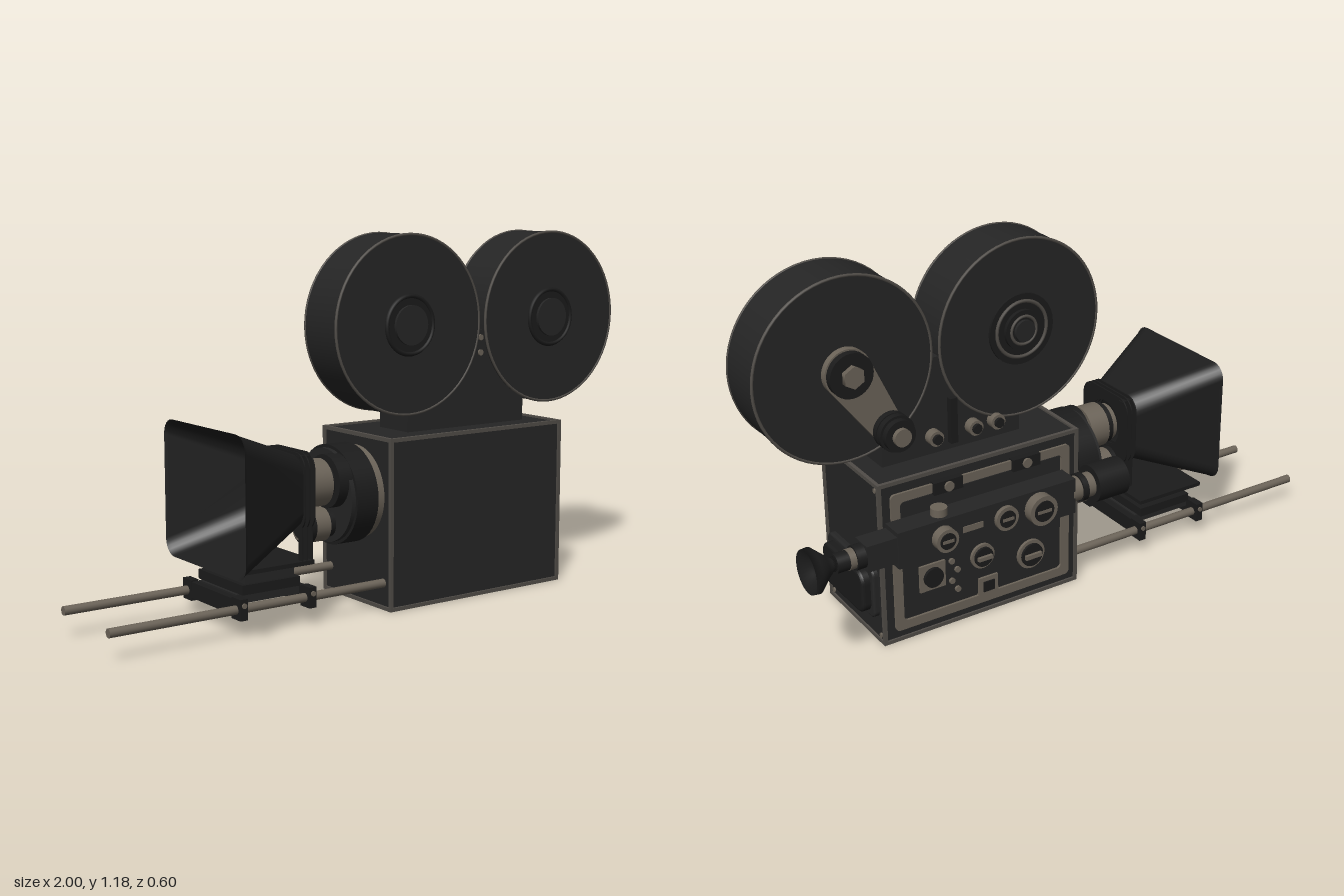
import * as THREE from 'three';

const mat = (name, color, side = THREE.FrontSide) => {
  const m = new THREE.MeshStandardMaterial({ color, side });
  m.name = name;
  return m;
};

export function createModel() {
  const root = new THREE.Group();
  root.name = 'filmCamera';
  const body = mat('charcoal paint', 0x252525);
  const black = mat('black', 0x1b1b1b);
  const shell = mat('black shell', 0x1c1c1c, THREE.DoubleSide);
  const trim = mat('worn edge', 0x504c47);
  const metal = mat('warm metal', 0x6b6358);

  const add = (name, geo, m) => {
    const mesh = new THREE.Mesh(geo, m);
    mesh.name = name;
    root.add(mesh);
    return mesh;
  };
  const box = (name, m, x0, x1, y0, y1, z0, z1) => {
    const mesh = add(name, new THREE.BoxGeometry(x1 - x0, y1 - y0, z1 - z0), m);
    mesh.position.set((x0 + x1) / 2, (y0 + y1) / 2, (z0 + z1) / 2);
    return mesh;
  };
  // Cylinders along z and along x, given by their end positions
  const cylZ = (name, m, r, x, y, z0, z1, seg = 32) => {
    const g = new THREE.CylinderGeometry(r, r, z1 - z0, seg).rotateX(Math.PI / 2);
    add(name, g, m).position.set(x, y, (z0 + z1) / 2);
  };
  const cylX = (name, m, r, x0, x1, y, z, seg = 32) => {
    const g = new THREE.CylinderGeometry(r, r, x1 - x0, seg).rotateZ(Math.PI / 2);
    add(name, g, m).position.set((x0 + x1) / 2, y, z);
  };
  const ringZ = (name, m, r, tube, x, y, z) =>
    add(name, new THREE.TorusGeometry(r, tube, 6, 64), m).position.set(x, y, z);
  const rounded = (w, h, r, ShapeType = THREE.Shape) => {
    const s = new ShapeType(), a = w / 2 - r, b = h / 2 - r, q = Math.PI / 2;
    s.absarc(a, b, r, 0, q);
    s.absarc(-a, b, r, q, 2 * q);
    s.absarc(-a, -b, r, 2 * q, 3 * q);
    s.absarc(a, -b, r, 3 * q, 4 * q);
    s.closePath();
    return s;
  };
  const extrude = (shape, depth, bevel = 0) => new THREE.ExtrudeGeometry(shape, {
    depth, curveSegments: 16, bevelEnabled: bevel > 0, bevelSize: bevel, bevelThickness: bevel, bevelSegments: 3,
  });

  // Camera body with worn edges
  const X0 = -0.04, X1 = 0.665, Z0 = -0.165, Z1 = 0.195, H = 0.545;
  box('cameraBody', body, X0, X1, 0.005, H, Z0, Z1);
  const e = 0.006;
  for (const y of [e, H]) {
    for (const z of [Z0, Z1]) box('edgeTrim', trim, X0 - e, X1 + e, y - e, y + e, z - e, z + e);
    for (const x of [X0, X1]) box('edgeTrim', trim, x - e, x + e, y - e, y + e, Z0, Z1);
  }
  for (const x of [X0, X1]) for (const z of [Z0, Z1]) box('edgeTrim', trim, x - e, x + e, 0, H, z - e, z + e);
  for (const y of [0.025, 0.525]) for (const z of [-0.145, 0.175]) cylX('cornerScrew', metal, 0.008, X1, X1 + 0.005, y, z, 12);

  // Rounded cover on the end face
  const coverA = add('endCover', extrude(rounded(0.29, 0.16, 0.02), 0.012, 0.007).rotateY(Math.PI / 2), body);
  coverA.position.set(X1, 0.167, 0.015);
  const coverB = add('endCoverRaised', extrude(rounded(0.25, 0.125, 0.03), 0.02, 0.01).rotateY(Math.PI / 2), black);
  coverB.position.set(X1 + 0.018, 0.167, 0.015);

  // Door frame and controls on the operating side
  const frame = rounded(0.64, 0.47, 0.015);
  frame.holes.push(rounded(0.58, 0.41, 0.015, THREE.Path));
  add('doorFrame', extrude(frame, 0.008), metal).position.set(0.312, 0.275, -0.177);
  box('doorPanel', body, 0.03, 0.595, 0.075, 0.475, -0.172, -0.164);
  for (const x of [0.16, 0.44]) {
    box('doorLatch', black, x - 0.05, x + 0.05, 0.475, 0.515, -0.188, -0.165);
    cylZ('latchKnob', metal, 0.016, x, 0.495, -0.195, -0.165, 16);
  }
  const knob = (x, y, r) => {
    cylZ('dialBase', metal, r, x, y, -0.182, -0.165);
    cylZ('dialFace', black, r * 0.78, x, y, -0.19, -0.165);
    box('dialGrip', metal, x - r * 0.6, x + r * 0.6, y - r * 0.15, y + r * 0.15, -0.2, -0.185);
  };
  knob(0.32, 0.21, 0.042);
  knob(0.14, 0.16, 0.05);
  box('switchPlate', metal, 0.455, 0.545, 0.15, 0.24, -0.18, -0.165);
  cylZ('switchDial', black, 0.033, 0.5, 0.195, -0.19, -0.165);
  box('counterPlate', metal, 0.265, 0.335, 0.065, 0.13, -0.18, -0.165);
  box('counterWindow', black, 0.28, 0.32, 0.08, 0.115, -0.184, -0.165);
  for (let i = 0; i < 4; i++) cylZ('smallButton', metal, 0.01, 0.41 + (i % 2) * 0.02, 0.12 + i * 0.035, -0.18, -0.165, 12);

  // Film magazine: two drums and the throat between them
  const throat = new THREE.Shape([
    [0.105, 0.54], [0.595, 0.54], [0.595, 0.66], [0.425, 0.86], [0.385, 0.86], [0.105, 0.66],
  ].map(p => new THREE.Vector2(...p)));
  add('magazineThroat', extrude(throat, 0.15), body).position.z = -0.06;
  for (const x of [0.105, 0.705]) {
    cylZ('magazineDrum', body, 0.288, x, 0.89, -0.07, 0.1, 72);
    for (const z of [-0.068, 0.098]) ringZ('drumRim', trim, 0.286, 0.005, x, 0.89, z);
    ringZ('hubRing', black, 0.092, 0.008, x, 0.89, 0.1);
    cylZ('hubPlate', black, 0.09, x, 0.89, 0.09, 0.103);
    cylZ('hubCap', body, 0.064, x, 0.89, 0.09, 0.112);
  }
  for (const y of [0.785, 0.835]) cylZ('throatScrew', metal, 0.01, 0.405, y, 0.08, 0.096, 12);
  for (const x of [0.2, 0.28, 0.42]) {
    cylZ('throatKnob', metal, 0.025, x, 0.605, -0.09, -0.06, 20);
    cylZ('throatKnobCap', black, 0.016, x, 0.605, -0.1, -0.06, 20);
  }
  box('throatLever', black, 0.34, 0.365, 0.57, 0.72, -0.08, -0.06);

  // Hub on the rear of the forward drum
  cylZ('rearHub', black, 0.115, 0.105, 0.89, -0.078, -0.06);
  ringZ('rearHubRing', trim, 0.09, 0.006, 0.105, 0.89, -0.078);
  cylZ('rearHubStep', black, 0.065, 0.105, 0.89, -0.09, -0.06);
  ringZ('rearHubRing', trim, 0.045, 0.005, 0.105, 0.89, -0.09);
  cylZ('rearHubCap', body, 0.035, 0.105, 0.89, -0.1, -0.06);

  // Belt drive on the rear of the other drum
  const px = 0.585, py = 0.69, a = Math.atan2(py - 0.89, px - 0.705), q = Math.PI / 2;
  const arm = new THREE.Shape();
  arm.absarc(0.705, 0.89, 0.075, a + q, a + 3 * q);
  arm.absarc(px, py, 0.05, a - q, a + q);
  arm.closePath();
  add('driveArm', extrude(arm, 0.022), metal).position.z = -0.092;
  cylZ('driveWheel', black, 0.07, 0.705, 0.89, -0.115, -0.09);
  cylZ('driveWheelCap', metal, 0.035, 0.705, 0.89, -0.132, -0.11, 6);
  [[0.045, -0.107, metal], [0.058, -0.125, black], [0.045, -0.137, metal], [0.058, -0.15, black], [0.05, -0.17, black], [0.028, -0.185, metal]]
    .forEach(([r, z, m]) => cylZ('beltPulley', m, r, px, py, z, z + 0.02));

  // Lens turret
  cylX('turretBase', metal, 0.15, -0.075, -0.04, 0.36, 0.01, 48);
  cylX('turretDisc', black, 0.16, -0.15, -0.07, 0.36, 0.01, 48);
  cylX('turretFace', body, 0.15, -0.165, -0.15, 0.36, 0.01, 48);
  const lens = (name, y, z, steps) => steps.forEach(([x0, x1, r, m]) => cylX(name, m, r, x0, x1, y, z));
  lens('mainLens', 0.415, 0.06, [[-0.2, -0.15, 0.085, black], [-0.225, -0.2, 0.06, black], [-0.285, -0.215, 0.075, metal],
    [-0.305, -0.285, 0.07, black], [-0.325, -0.305, 0.062, metal], [-0.33, -0.325, 0.052, black]]);
  lens('lowerLens', 0.275, 0.03, [[-0.19, -0.16, 0.045, black], [-0.245, -0.19, 0.055, metal], [-0.265, -0.245, 0.058, black], [-0.272, -0.265, 0.048, metal], [-0.274, -0.272, 0.04, black]]);
  lens('sideLens', 0.345, -0.08, [[-0.18, -0.16, 0.045, black], [-0.22, -0.18, 0.052, metal], [-0.235, -0.22, 0.054, black], [-0.238, -0.235, 0.042, metal]]);

  // Flared matte box hood, lofted through rounded rectangles
  const sections = [[-0.632, 0.235, 0.213, 0.05], [-0.62, 0.228, 0.207, 0.05], [-0.355, 0.118, 0.112, 0.06]];
  const pos = [], idx = [], n = 28;
  for (const [x, hz, hy, r] of sections) {
    for (let i = 0; i < n; i++) {
      const c = Math.floor(i / 7), t = (c + (i % 7) / 6) * q;
      const sz = c === 0 || c === 3 ? 1 : -1, sy = c < 2 ? 1 : -1;
      pos.push(x, 0.412 + sy * (hy - r) + r * Math.sin(t), 0.06 + sz * (hz - r) + r * Math.cos(t));
    }
  }
  for (let s = 0; s < sections.length - 1; s++) for (let i = 0; i < n; i++) {
    const p = s * n + i, p2 = s * n + (i + 1) % n;
    idx.push(p, p2, p + n, p2, p2 + n, p + n);
  }
  const hood = new THREE.BufferGeometry();
  hood.setAttribute('position', new THREE.Float32BufferAttribute(pos, 3));
  hood.setIndex(idx);
  hood.computeVertexNormals();
  add('matteBoxHood', hood, shell);

  // Thin filter frames behind the hood
  for (const x of [-0.357, -0.34, -0.322]) {
    const f = rounded(0.25, 0.24, 0.05);
    f.holes.push(new THREE.Path().absarc(0, 0, 0.08, 0, Math.PI * 2, true));
    add('filterFrame', extrude(f, 0.004).rotateY(q), black).position.set(x, 0.412, 0.06);
    for (const z of [-0.04, 0.16]) box('framePost', black, x, x + 0.004, 0.19, 0.35, z - 0.01, z + 0.01);
  }
  for (const z of [-0.03, 0.15]) box('frameRail', black, -0.36, -0.315, 0.515, 0.523, z - 0.01, z + 0.01);

  // Support rods and sliding bracket
  for (const z of [-0.135, 0.155]) {
    cylX('supportRod', metal, 0.014, -1, -0.04, 0.085, z, 20);
    for (const x of [-0.57, -0.325]) {
      box('rodClamp', black, x - 0.013, x + 0.013, 0.055, 0.12, z - 0.025, z + 0.025);
      cylZ('clampScrew', metal, 0.008, x, 0.1, z - 0.03, z + 0.03, 12);
    }
  }
  for (const x of [-0.57, -0.325]) box('bracketBar', black, x - 0.012, x + 0.012, 0.065, 0.115, -0.15, 0.17);
  box('bracketDeck', body, -0.56, -0.335, 0.09, 0.12, -0.1, 0.12);
  box('bracketBlock', black, -0.55, -0.345, 0.12, 0.15, -0.12, 0.14);
  box('bracketRiser', body, -0.535, -0.36, 0.15, 0.19, -0.1, 0.13);
  box('bracketTop', black, -0.57, -0.315, 0.19, 0.203, -0.155, 0.175);

  // Side viewfinder
  const vy = 0.378, vz = -0.228;
  box('viewfinderBody', body, 0.03, 0.66, 0.315, 0.435, -0.266, -0.19);
  box('viewfinderRear', body, 0.66, 0.76, 0.335, 0.42, -0.262, -0.19);
  for (const x of [0.12, 0.55]) box('viewfinderMount', black, x - 0.05, x + 0.05, 0.33, 0.42, -0.2, -0.165);
  cylX('viewfinderCollar', metal, 0.04, -0.05, 0.035, vy, vz);
  cylX('viewfinderCollarRing', black, 0.046, -0.02, 0, vy, vz);
  cylX('viewfinderObjective', black, 0.062, -0.165, -0.05, vy, vz);
  cylX('objectiveGlass', body, 0.05, -0.168, -0.165, vy, vz);
  [[0.17, 0.05, -0.3], [0.29, 0.04, -0.28], [0.51, 0.038, -0.297]].forEach(([x, r, z]) => {
    cylZ('finderKnob', metal, r, x, vy, z, -0.26);
    cylZ('finderKnobFace', black, r * 0.7, x, vy, z - 0.003, -0.26);
    box('finderKnobMark', metal, x - r * 0.5, x + r * 0.5, vy - 0.005, vy + 0.005, z - 0.005, z);
  });
  const topKnob = new THREE.CylinderGeometry(0.026, 0.026, 0.03, 20);
  add('finderTopKnob', topKnob, metal).position.set(0.5, 0.445, vz);
  box('finderSlot', metal, 0.37, 0.44, 0.37, 0.39, -0.269, -0.26);

  // Eyepiece tube and flared rubber cup
  cylX('eyepieceTube', black, 0.038, 0.76, 0.79, vy, vz);
  cylX('eyepieceRing', metal, 0.032, 0.79, 0.81, vy, vz);
  cylX('eyepieceTube', black, 0.03, 0.81, 0.85, vy, vz);
  const cup = [[0, 0.87], [0.024, 0.845], [0.022, 0.86], [0.038, 0.88], [0.07, 0.915], [0.068, 0.937], [0.04, 0.905], [0, 0.89]]
    .map(([r, x]) => new THREE.Vector2(r, x));
  add('eyeCup', new THREE.LatheGeometry(cup, 32).rotateZ(-q), shell).position.set(0, vy, vz);

  return root;
}
